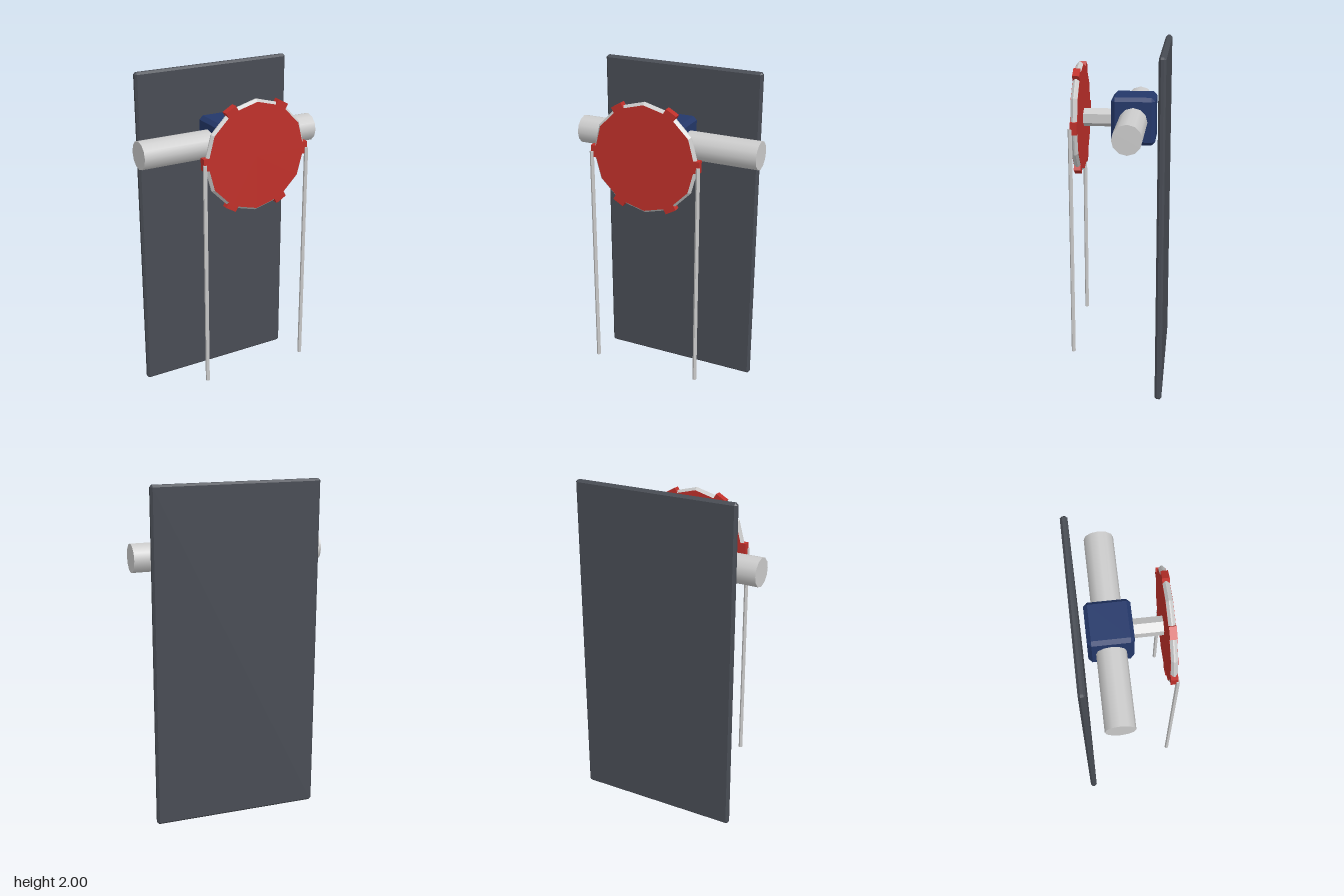
import * as THREE from 'three';
import { ConvexGeometry } from 'three/addons/geometries/ConvexGeometry.js';

const paint = (color, flatShading = true) => new THREE.MeshStandardMaterial({ color, flatShading });

// Box with every edge cut by a flat chamfer c
function chamferBox(w, h, d, c) {
  const points = [];
  for (const sx of [-1, 1]) for (const sy of [-1, 1]) for (const sz of [-1, 1]) {
    for (let axis = 0; axis < 3; axis++) {
      const cut = [c, c, c];
      cut[axis] = 0;
      points.push(new THREE.Vector3(
        sx * (w / 2 - cut[0]), sy * (h / 2 - cut[1]), sz * (d / 2 - cut[2])));
    }
  }
  return new ConvexGeometry(points);
}

export function createModel() {
  const model = new THREE.Group();
  const grey = paint(0xcccccc);
  const red = paint(0xc0302a);
  const add = (parent, name, geometry, material, x = 0, y = 0, z = 0) => {
    const mesh = new THREE.Mesh(geometry, material);
    mesh.name = name;
    mesh.position.set(x, y, z);
    parent.add(mesh);
    return mesh;
  };
  const axleY = 1.575;

  // Backing panel
  add(model, 'backPanel', chamferBox(1, 2, 0.04, 0.012), paint(0x484c54), 0, 1, -0.255);

  // Gear housing with the cross shaft running through it
  add(model, 'housing', chamferBox(0.256, 0.28, 0.256, 0.022), paint(0x24386a), 0, axleY, -0.075);
  const shaft = new THREE.CylinderGeometry(0.084, 0.084, 1.14, 12).rotateZ(Math.PI / 2);
  add(model, 'crossShaft', shaft, paint(0xcccccc, false), 0, axleY, -0.075);

  // Hexagonal axle from the housing to the wheel
  const axle = new THREE.CylinderGeometry(0.054, 0.054, 0.2, 6).rotateX(Math.PI / 2);
  add(model, 'wheelAxle', axle, grey, 0, axleY, 0.13);

  // Wheel: red disc, ridged grey rim and six red cleats
  const wheel = new THREE.Group();
  wheel.name = 'wheel';
  wheel.position.set(0, axleY, 0.242);
  model.add(wheel);
  const disc = new THREE.CylinderGeometry(0.311, 0.311, 0.04, 12).rotateX(Math.PI / 2);
  add(wheel, 'disc', disc, red);
  const rimProfile = [[0.311, -0.019], [0.325, -0.004], [0.325, 0.004], [0.311, 0.019]]
    .map(([r, y]) => new THREE.Vector2(r, y));
  add(wheel, 'rim', new THREE.LatheGeometry(rimProfile, 12).rotateX(Math.PI / 2), grey);
  for (let i = 0; i < 6; i++) {
    const cleat = new THREE.BoxGeometry(0.05, 0.07, 0.04)
      .translate(0.31, 0, 0).rotateZ(i * Math.PI / 3);
    add(wheel, 'cleat', cleat, red);
  }

  // Cords hanging from both sides of the wheel
  for (const side of [-1, 1]) {
    const cord = new THREE.CylinderGeometry(0.012, 0.012, 1.36, 6);
    add(model, side > 0 ? 'leftCord' : 'rightCord', cord, grey, side * 0.33, 0.895, 0.261);
  }
  return model;
}
